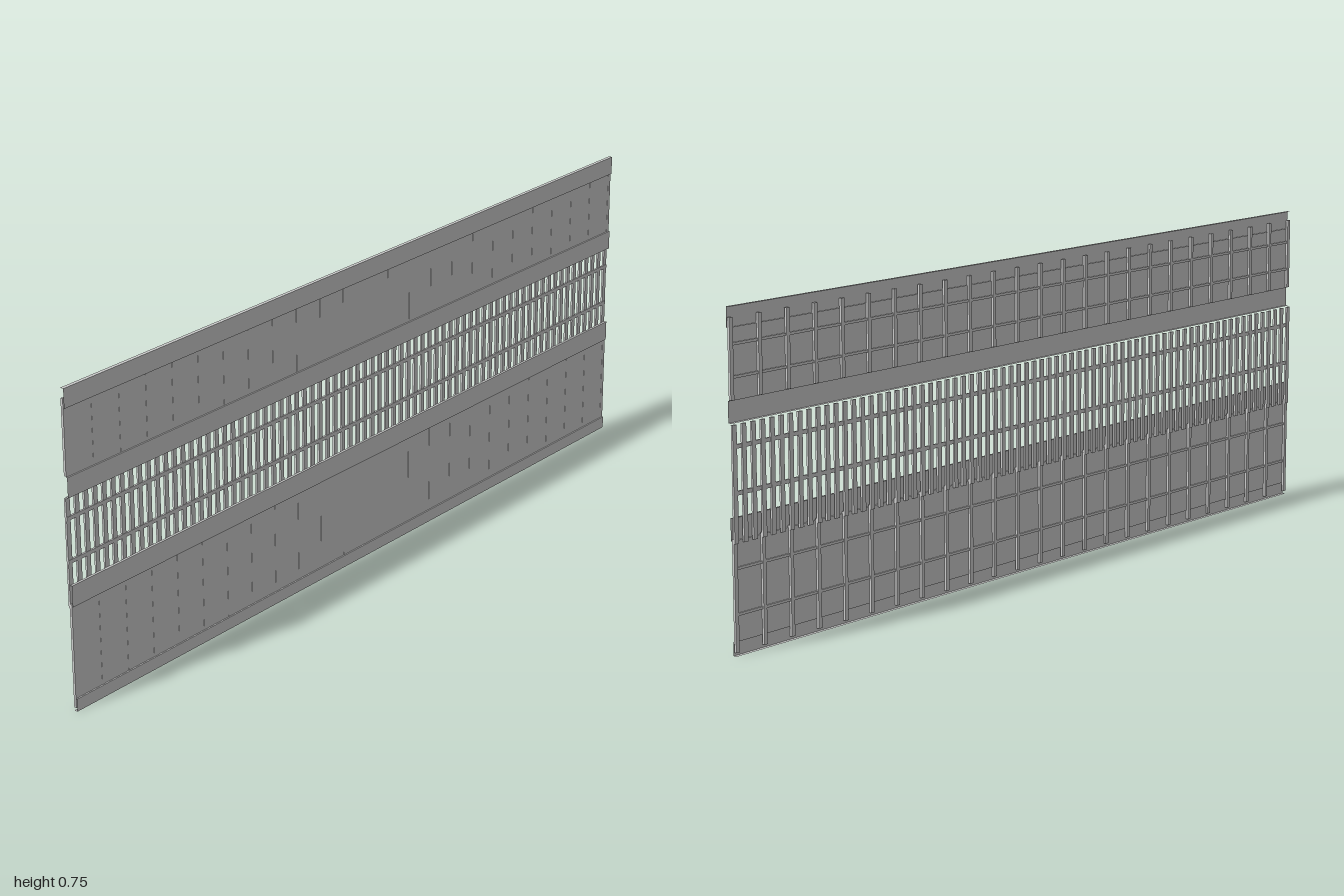
import * as THREE from 'three';
import { mergeGeometries } from 'three/addons/utils/BufferGeometryUtils.js';

const material = new THREE.MeshStandardMaterial({ color: 0xcccccc, side: THREE.DoubleSide });
const LENGTH = 2;

// Folded sheet running the whole length; profile is [y, z] from top to bottom
function foldedSheet(name, profile) {
  const strips = profile.slice(1).map(([y1, z1], i) => {
    const [y0, z0] = profile[i];
    const dy = y0 - y1, dz = z0 - z1;
    const strip = new THREE.PlaneGeometry(LENGTH, Math.hypot(dy, dz));
    strip.rotateX(Math.atan2(dz, dy));
    strip.translate(0, (y0 + y1) / 2, (z0 + z1) / 2);
    return strip;
  });
  const mesh = new THREE.Mesh(mergeGeometries(strips), material);
  mesh.name = name;
  return mesh;
}

// Evenly spaced upright bars, the outer two flush with the ends
function uprights(name, bays, width, y0, y1, z0, z1) {
  const group = new THREE.Group();
  group.name = name + 's';
  const geometry = new THREE.BoxGeometry(width, y1 - y0, z1 - z0);
  for (let i = 0; i <= bays; i++) {
    const bar = new THREE.Mesh(geometry, material);
    bar.name = name;
    bar.position.set((i / bays - 0.5) * (LENGTH - width), (y0 + y1) / 2, (z0 + z1) / 2);
    group.add(bar);
  }
  return group;
}

function rail(name, y, height, z0, z1) {
  const mesh = new THREE.Mesh(new THREE.BoxGeometry(LENGTH, height, z1 - z0), material);
  mesh.name = name;
  mesh.position.set(0, y, (z0 + z1) / 2);
  return mesh;
}

export function createModel() {
  const model = new THREE.Group();
  model.name = 'slattedWall';
  const front = 0.006, recess = 0.0025, back = -0.003;

  // Solid panels with raised bands along their edges
  model.add(foldedSheet('upperPanel', [
    [0.75, back], [0.75, front], [0.705, front], [0.705, recess],
    [0.55, recess], [0.55, front], [0.503, front], [0.503, back],
  ]));
  model.add(foldedSheet('lowerPanel', [
    [0.3, 0], [0.3, front], [0.25, front], [0.25, recess],
    [0.03, recess], [0.03, front], [0, front], [0, back],
  ]));

  // Studs and stringers stiffening the panels
  model.add(uprights('upperStud', 24, 0.01, 0.552, 0.727, back, 0.003));
  model.add(uprights('lowerStud', 24, 0.01, 0.008, 0.255, back, 0.003));
  for (const y of [0.67, 0.6, 0.19, 0.09]) model.add(rail('stringer', y, 0.006, -0.001, 0.002));

  // Open slatted strip between the panels
  model.add(uprights('slat', 72, 0.012, 0.245, 0.5, -0.006, -0.001));
  for (const y of [0.453, 0.353]) model.add(rail('slatRail', y, 0.009, -0.005, 0));

  return model;
}
